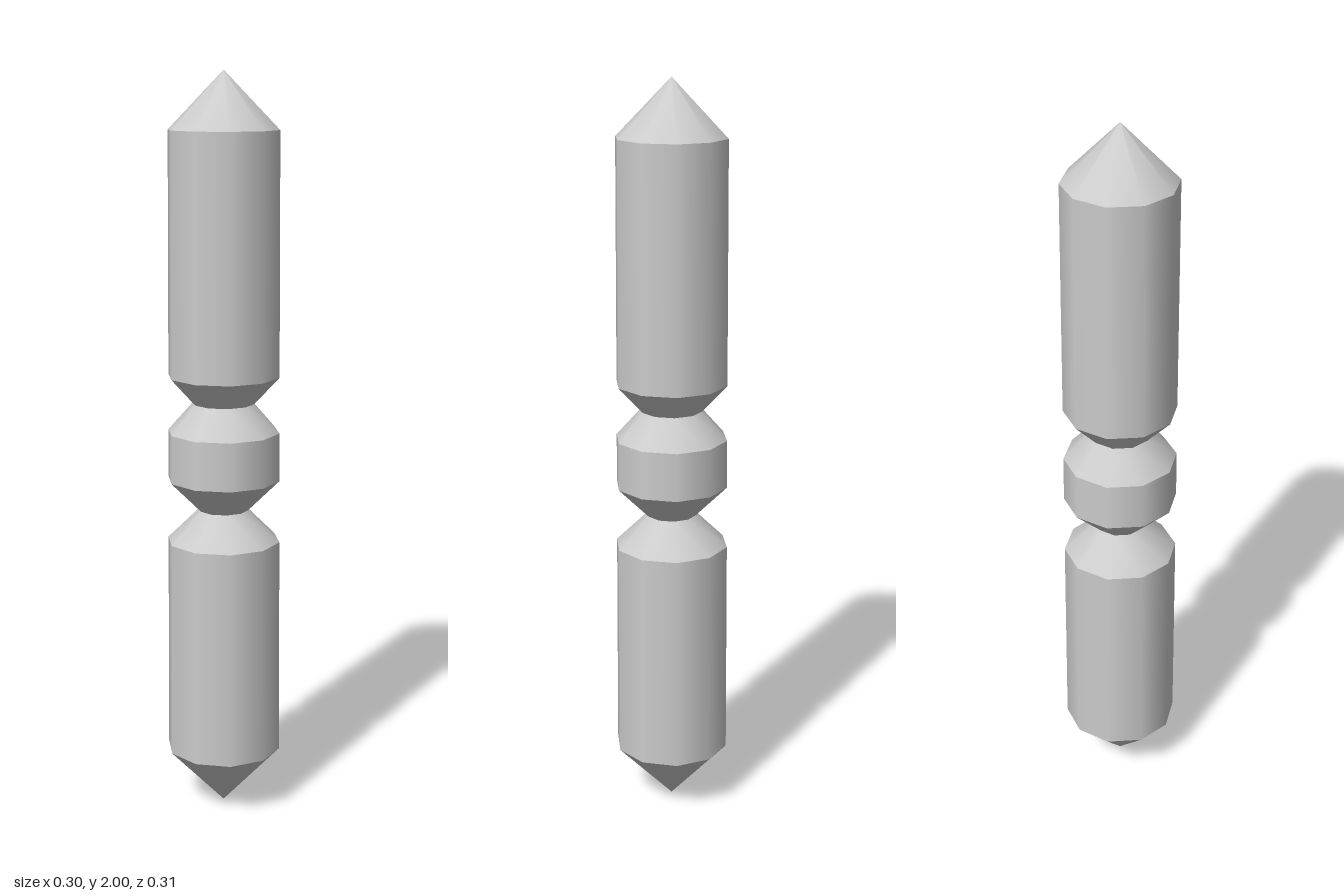
import * as THREE from 'three';

const SIDES = 10;

// Each part is a profile of [radius, height] rings, from bottom to top.
const PARTS = {
  lowerShaft: [[0, 0], [0.156, 0.165], [0.153, 0.76], [0.067, 0.845]],
  middleBead: [[0.067, 0.845], [0.152, 0.93], [0.151, 1.06], [0.083, 1.137]],
  upperShaft: [[0.083, 1.137], [0.15, 1.21], [0.147, 1.85], [0, 2]],
};
const BANDS = ['lowerTaper', 'body', 'upperTaper'];

export function createModel() {
  const model = new THREE.Group();
  model.name = 'pointedRod';
  const material = new THREE.MeshStandardMaterial({ color: 0xcccccc });

  for (const [name, profile] of Object.entries(PARTS)) {
    const part = new THREE.Group();
    part.name = name;
    // One lathe per band: smooth around, sharp rims between bands
    BANDS.forEach((band, i) => {
      const points = [profile[i], profile[i + 1]].map(([r, y]) => new THREE.Vector2(r, y));
      const mesh = new THREE.Mesh(new THREE.LatheGeometry(points, SIDES), material);
      mesh.name = band;
      part.add(mesh);
    });
    model.add(part);
  }
  return model;
}
